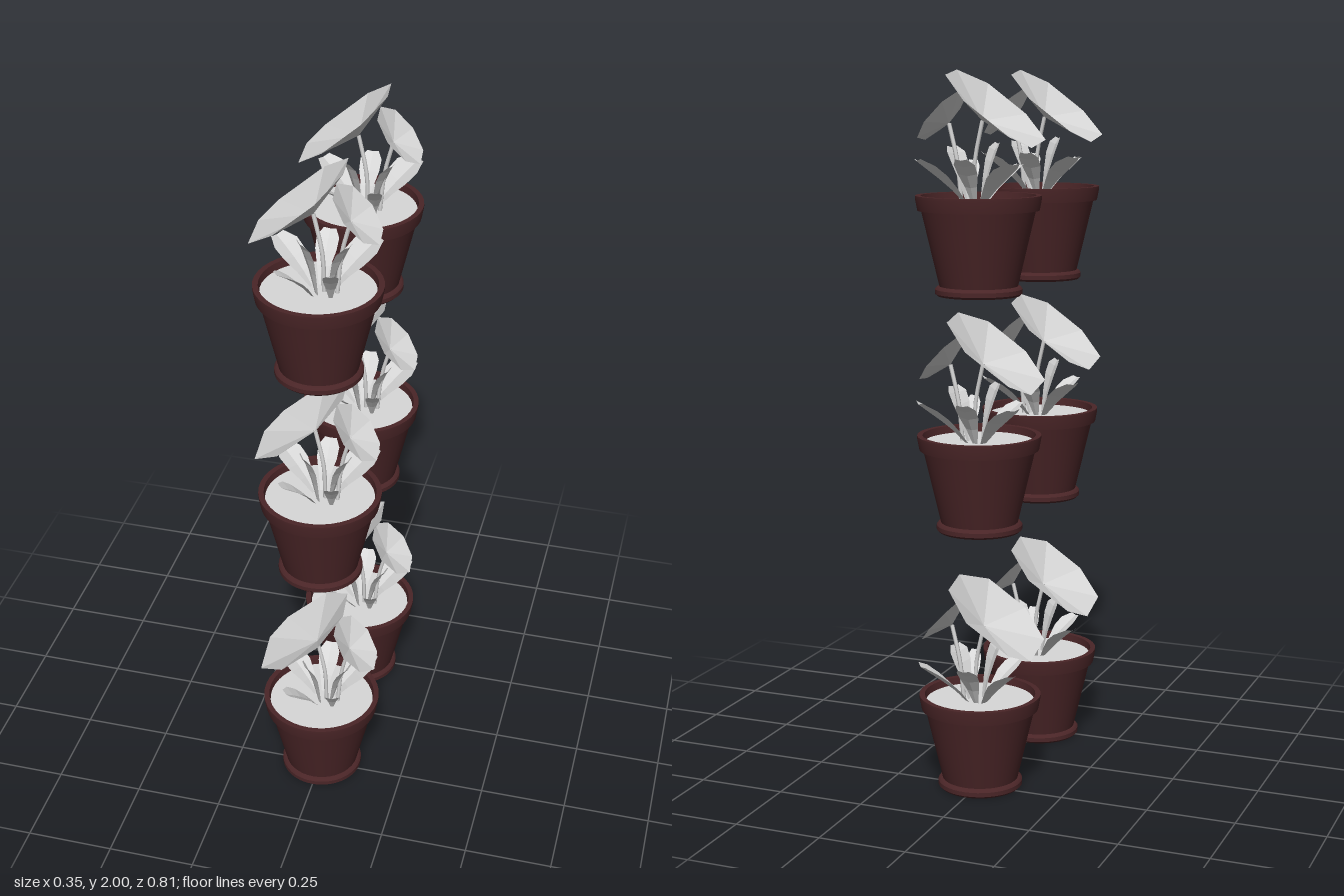
import * as THREE from 'three';
import { toCreasedNormals } from 'three/addons/utils/BufferGeometryUtils.js';

const V = (x, y, z) => new THREE.Vector3(x, y, z);

// Triangle mesh from points and faces, with faceted normals
function faceted(points, faces) {
  const g = new THREE.BufferGeometry().setFromPoints(faces.flat().map((i) => points[i]));
  g.computeVertexNormals();
  return g;
}

// Shallow cup: a rim polygon fanned around a sunken centre
function cup(rim, centre) {
  const n = rim.length;
  return faceted([...rim, centre], rim.map((_, i) => [n, (i + 1) % n, i]));
}

// Arching, slightly folded leaf from root to a blunt tip
function leaf(root, tip, width, bulge) {
  const mid = root.clone().lerp(tip, 0.5);
  mid.y += bulge;
  const curve = new THREE.QuadraticBezierCurve3(root, mid, tip);
  const out = tip.clone().sub(root).setY(0).normalize();
  const side = V(-out.z, 0, out.x);
  const profile = [0.25, 0.6, 0.95, 1, 0.55];
  const points = [], faces = [];
  profile.forEach((w, i) => {
    const p = curve.getPoint(i / 4);
    const half = (w * width) / 2;
    points.push(
      p.clone().addScaledVector(side, -half),
      p.clone().addScaledVector(out, 0.1 * half).add(V(0, -0.2 * half, 0)),
      p.clone().addScaledVector(side, half));
    if (i === 4) return;
    const a = i * 3;
    for (const k of [a, a + 1]) faces.push([k, k + 1, k + 3], [k + 1, k + 4, k + 3]);
  });
  return faceted(points, faces);
}

function stem(points) {
  return new THREE.TubeGeometry(new THREE.CatmullRomCurve3(points), 6, 0.006, 6);
}

export function createModel() {
  const model = new THREE.Group();
  model.name = 'pottedFlowers';
  const clay = new THREE.MeshStandardMaterial({ color: 0x4a2527 });
  clay.name = 'dark clay';
  const pale = new THREE.MeshStandardMaterial({ color: 0xd8d8d8, side: THREE.DoubleSide });
  pale.name = 'pale grey';

  // Pot wall with foot, overhanging rim and inner face
  const profile = [
    [0, 0], [0.113, 0], [0.119, 0.006], [0.119, 0.018], [0.114, 0.024], [0.107, 0.026],
    [0.155, 0.23], [0.165, 0.23], [0.171, 0.262], [0.171, 0.27], [0.156, 0.27], [0.15, 0.235],
  ].map(([x, y]) => new THREE.Vector2(x, y));
  const potGeo = toCreasedNormals(new THREE.LatheGeometry(profile, 40), 0.6);
  const soilGeo = new THREE.CircleGeometry(0.154, 40).rotateX(-Math.PI / 2).translate(0, 0.25, 0);

  // Large flower: uneven octagon on a plane rising toward +x
  const bigRim = [
    [-0.175, -0.059], [-0.138, -0.128], [-0.026, -0.16], [0.056, -0.091],
    [0.073, 0.027], [0.028, 0.138], [-0.073, 0.165], [-0.155, 0.1],
  ].map(([x, z]) => V(x, 0.4 + (x + 0.175) * 0.815, z));
  const bigApex = V(-0.012, 0.468, 0);

  // Small flower: octagon facing +x and up
  const slope = V(0.67, -0.74, 0);
  const smallRim = [];
  for (let i = 0; i < 8; i++) {
    const a = ((i + 0.3) * Math.PI) / 4;
    smallRim.push(V(0.104, 0.482, 0).addScaledVector(slope, 0.094 * Math.cos(a))
      .add(V(0, 0, 0.092 * Math.sin(a))));
  }
  const smallApex = V(0.085, 0.46, 0);

  // Leaves: root, tip, width, arch height
  const leaves = [
    [V(0.03, 0.25, -0.02), V(0.13, 0.37, -0.11), 0.11, 0.03],
    [V(-0.02, 0.25, -0.02), V(-0.13, 0.36, -0.075), 0.085, 0.03],
    [V(0.04, 0.25, 0.03), V(0.062, 0.36, 0.115), 0.04, 0.03],
    [V(-0.01, 0.25, 0.03), V(-0.075, 0.35, 0.115), 0.07, 0.03],
    [V(0.0, 0.25, 0.02), V(-0.035, 0.41, 0.05), 0.075, 0.07],
    [V(0.03, 0.25, 0.0), V(0.085, 0.4, 0.02), 0.07, 0.06],
    [V(0.0, 0.25, -0.03), V(0.0, 0.37, -0.12), 0.06, 0.04],
  ].map((args) => leaf(...args));

  const parts = [
    ['pot', potGeo, clay],
    ['soil', soilGeo, pale],
    ['largeFlower', cup(bigRim, bigApex), pale],
    ['smallFlower', cup(smallRim, smallApex), pale],
    ['largeStem', stem([V(0.015, 0.25, 0), V(0.012, 0.36, 0.004), bigApex]), pale],
    ['smallStem', stem([V(0.05, 0.25, 0), V(0.06, 0.36, -0.004), smallApex]), pale],
    ...leaves.map((g) => ['leaf', g, pale]),
  ];

  // Three tiers of two plants
  for (const y of [0, 0.743, 1.398]) {
    for (const z of [-0.236, 0.236]) {
      const plant = new THREE.Group();
      plant.name = 'pottedFlower';
      plant.position.set(0, y, z);
      for (const [name, geo, mat] of parts) {
        const mesh = new THREE.Mesh(geo, mat);
        mesh.name = name;
        plant.add(mesh);
      }
      model.add(plant);
    }
  }
  return model;
}
